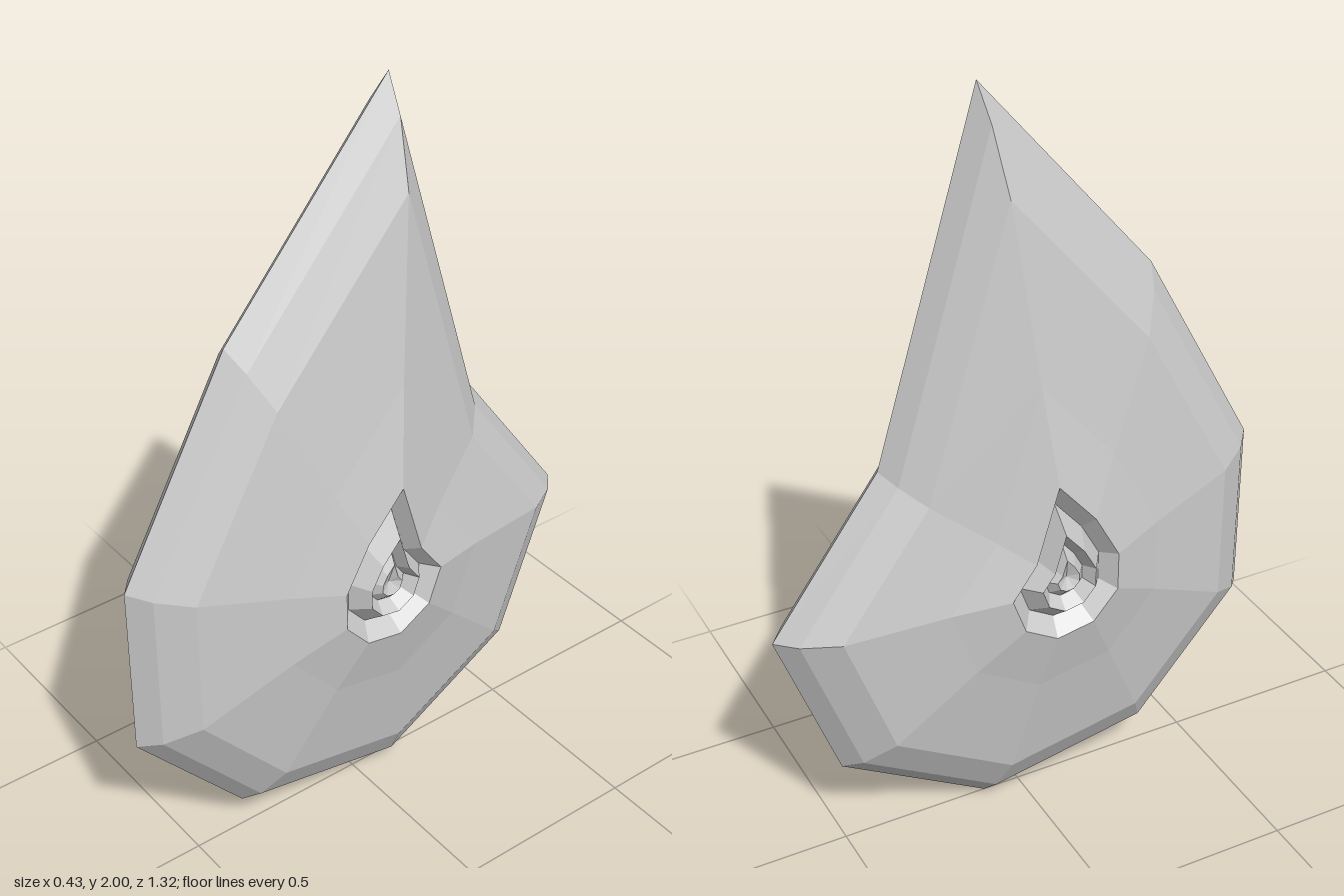
import * as THREE from 'three';

// Outline of the blade seen from its side, as [z, y], counter-clockwise from the tip
const OUTLINE = [
  [-0.10, 2.0], [0.36, 1.46], [0.66, 0.91], [0.66, 0.44], [0.36, 0.09],
  [-0.10, 0.005], [-0.50, 0.24], [-0.66, 0.68], [-0.37, 1.08],
];
const CENTRE = [0.035, 0.77];

// Rings as [scale of the outline about the centre, distance from the middle plane]
const SHELL = [[1, 0], [0.93, 0.055], [0.8, 0.11], [0.43, 0.165], [0.22, 0.205]];
const BOSS = [[0.22, 0.205], [0.165, 0.165], [0.11, 0.215], [0.078, 0.18], [0.045, 0.205], [0, 0.19]];

// Joins successive scaled outlines into one faceted surface on the given side
function ringSurface(rings, side) {
  const positions = [];
  const point = ([scale, x], i) => {
    const [z, y] = OUTLINE[i % OUTLINE.length];
    return [side * x, CENTRE[1] + scale * (y - CENTRE[1]), CENTRE[0] + scale * (z - CENTRE[0])];
  };
  const triangle = (a, b, c) => positions.push(...a, ...(side > 0 ? b : c), ...(side > 0 ? c : b));
  for (let r = 0; r < rings.length - 1; r++) {
    const outer = rings[r], inner = rings[r + 1];
    for (let i = 0; i < OUTLINE.length; i++) {
      triangle(point(outer, i), point(outer, i + 1), point(inner, i + 1));
      if (inner[0] > 0) triangle(point(outer, i), point(inner, i + 1), point(inner, i));
    }
  }
  const geometry = new THREE.BufferGeometry();
  geometry.setAttribute('position', new THREE.Float32BufferAttribute(positions, 3));
  geometry.computeVertexNormals();
  return geometry;
}

export function createModel() {
  const model = new THREE.Group();
  model.name = 'pointedShell';
  const material = new THREE.MeshStandardMaterial({ color: 0xcccccc, flatShading: true });

  // Mirrored halves, each with a stepped boss set in a groove
  for (const [side, label] of [[1, 'left'], [-1, 'right']]) {
    for (const [part, rings] of [['Shell', SHELL], ['Boss', BOSS]]) {
      const mesh = new THREE.Mesh(ringSurface(rings, side), material);
      mesh.name = label + part;
      model.add(mesh);
    }
  }
  return model;
}
